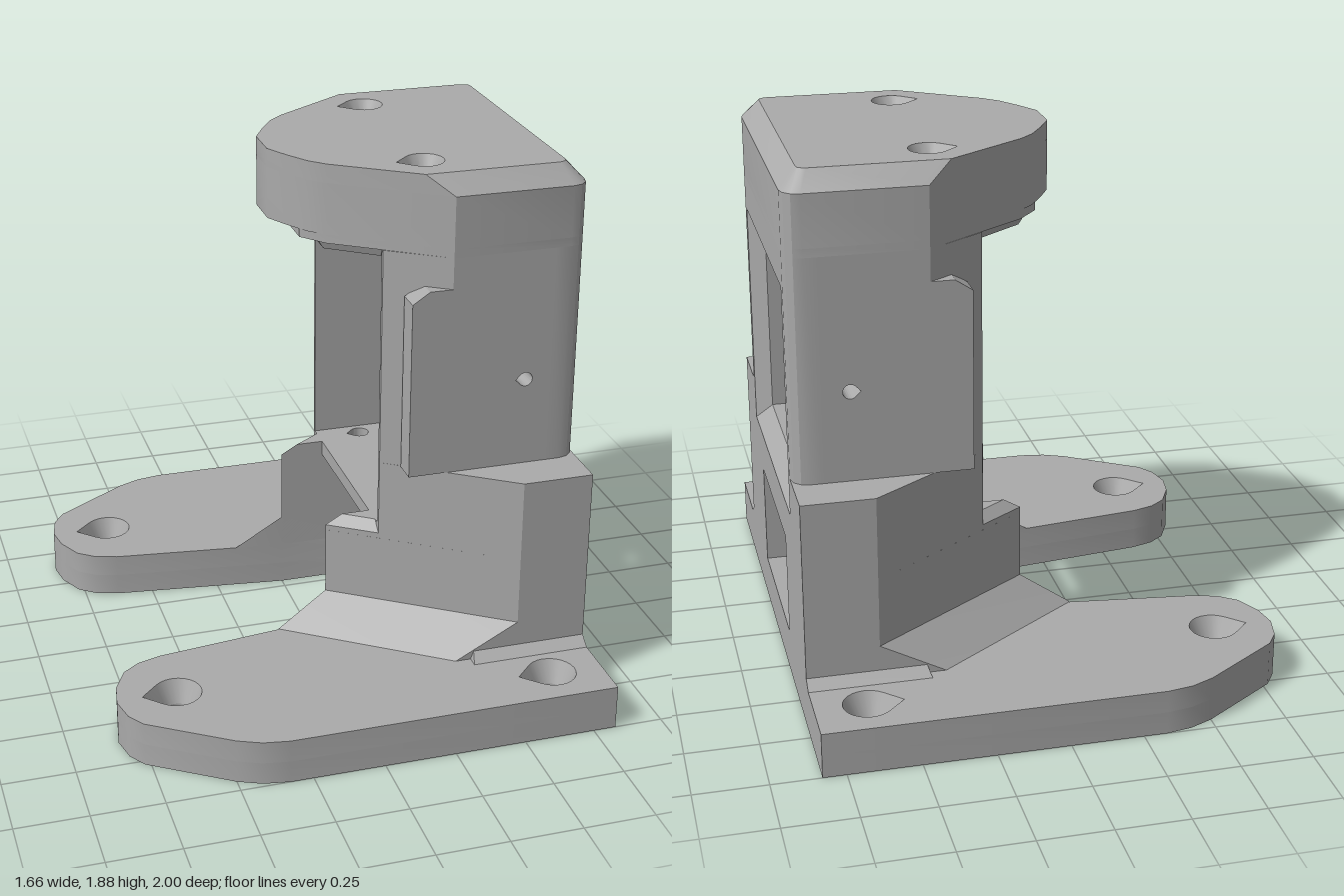
import * as THREE from 'three';
import { toCreasedNormals } from 'three/addons/utils/BufferGeometryUtils.js';

const grey = new THREE.MeshStandardMaterial({ color: 0xaaaaaa });
grey.name = 'grey plastic';

// Solid between two plan outlines of equal point count ([x, z] pairs), with optional holes.
function loft(low, y0, high, y1, holesLow = [], holesHigh = holesLow) {
  const pos = [];
  const vec = (ring) => ring.map(([x, z]) => new THREE.Vector2(x, z));
  const orient = (a, b, clockwise) => {
    const pair = [vec(a), vec(b)];
    if (THREE.ShapeUtils.isClockWise(pair[0]) !== clockwise) pair.forEach((r) => r.reverse());
    return pair;
  };
  const rings = [orient(low, high, false), ...holesLow.map((h, i) => orient(h, holesHigh[i], true))];
  const put = (p, y) => pos.push(p.x, y, p.y);
  for (const [a, b] of rings) {
    a.forEach((p, i) => {
      const j = (i + 1) % a.length;
      put(p, y0); put(b[i], y1); put(b[j], y1);
      put(p, y0); put(b[j], y1); put(a[j], y0);
    });
  }
  [0, 1].forEach((k) => {
    const contour = rings[0][k], holes = rings.slice(1).map((r) => r[k]);
    const all = [contour, ...holes].flat();
    for (const f of THREE.ShapeUtils.triangulateShape(contour, holes)) {
      (k ? [f[2], f[1], f[0]] : f).forEach((i) => put(all[i], k ? y1 : y0));
    }
  });
  const g = new THREE.BufferGeometry();
  g.setAttribute('position', new THREE.Float32BufferAttribute(pos, 3));
  return toCreasedNormals(g, 0.5);
}

// Mirror half an outline across z = 0.
const both = (half) => [...half, ...half.map(([x, z]) => [x, -z]).reverse()];
const flip = (pts, s) => pts.map(([x, z]) => [x, z * s]);

// Teardrop hole with its tip toward -x.
function teardrop(x, z, r) {
  const pts = [[x - r * 1.42, z]];
  for (let i = 0; i <= 18; i++) {
    const a = -Math.PI * 0.75 + (i / 18) * Math.PI * 1.5;
    pts.push([x + r * Math.cos(a), z + r * Math.sin(a)]);
  }
  return pts;
}

// Profile in x, y extruded along z.
function slab(pts, z0, z1, hole) {
  const shape = new THREE.Shape(pts.map(([x, y]) => new THREE.Vector2(x, y)));
  if (hole) shape.holes.push(new THREE.Path(hole.map(([x, y]) => new THREE.Vector2(x, y))));
  return new THREE.ExtrudeGeometry(shape, { depth: z1 - z0, bevelEnabled: false }).translate(0, 0, z0);
}

export function createModel() {
  const model = new THREE.Group();
  model.name = 'mountBracket';
  const add = (name, geometry) => {
    const mesh = new THREE.Mesh(geometry, grey);
    mesh.name = name;
    model.add(mesh);
  };

  // Forked base plate with countersunk teardrop holes
  const base = both([[0.83, 1], [-0.33, 1], [-0.42, 0.985], [-0.5, 0.95], [-0.77, 0.77], [-0.81, 0.71],
    [-0.83, 0.62], [-0.815, 0.53], [-0.77, 0.44], [-0.71, 0.395], [-0.63, 0.37], [0, 0.29],
    [0.45, 0.29], [0.56, 0.25], [0.63, 0.17], [0.65, 0.06]]);
  const baseHoles = (r) => [[0.65, 0.845], [0.65, -0.845], [-0.62, 0.61], [-0.62, -0.61]]
    .map(([x, z]) => teardrop(x, z, r));
  add('basePlateLower', loft(base, 0, base, 0.08, baseHoles(0.05)));
  add('basePlateUpper', loft(base, 0.08, base, 0.16, baseHoles(0.05), baseHoles(0.085)));

  for (const s of [1, -1]) {
    const side = s > 0 ? 'left' : 'right';
    const part = (name, low, y0, high, y1) =>
      add(side + name, loft(flip(low, s), y0, flip(high, s), y1));

    // Sloped skirts around the foot
    part('DiagonalSkirt', [[-0.18, 0.31], [0.355, 0.69], [0.83, 0.69], [0.83, 0.29], [0, 0.29]], 0.16,
      [[0, 0.29], [0.58, 0.69], [0.83, 0.69], [0.83, 0.29], [0.01, 0.29]], 0.28);
    part('SideSkirt', [[0.41, 0.73], [0.83, 0.73], [0.83, 0.6], [0.41, 0.65]], 0.16,
      [[0.42, 0.69], [0.83, 0.69], [0.83, 0.6], [0.42, 0.65]], 0.19);

    // Lower leg beside the channel, with a chamfered toe
    const leg = [[0, 0.29], [0.58, 0.69], [0.83, 0.69], [0.83, 0.29]];
    part('Leg', leg, 0.16, leg, 0.525);
    const toe = [[0, 0.29], [0.16, 0.4], [0.16, 0.29]];
    part('Toe', toe, 0.525, toe, 0.545);
    part('ToeChamfer', toe, 0.545, [[0.06, 0.29], [0.16, 0.36], [0.16, 0.29]], 0.58);

    // Shoulder
    const shoulder = [[0.16, 0.385], [0.16, 0.4], [0.58, 0.69], [0.83, 0.69], [0.83, 0.44], [0.775, 0.385]];
    part('Shoulder', shoulder, 0.58, shoulder, 0.82);

    // Upper side wall: diagonal front, drilled middle, rounded corner
    const front = [[0.16, 0.385], [0.16, 0.4], [0.36, 0.535], [0.36, 0.385]];
    part('WallFront', front, 0.58, front, 1.6);
    const drill = teardrop(0.63, 1.135, 0.025);
    add(side + 'Wall', slab([[0.36, 0.58], [0.72, 0.58], [0.72, 1.6], [0.36, 1.6]],
      s > 0 ? 0.385 : -0.535, s > 0 ? 0.535 : -0.385, drill));
    const corner = [[0.72, 0.385], [0.72, 0.535], [0.77, 0.535], [0.8, 0.527], [0.822, 0.505],
      [0.83, 0.475], [0.83, 0.44], [0.775, 0.385]];
    part('WallCorner', corner, 0.58, corner, 1.6);

    // Projecting tab with a chamfered top
    const tab = [[0.22, 0.45], [0.22, 0.535], [0.37, 0.535], [0.37, 0.45]];
    part('Tab', tab, 0.82, tab, 1.45);
    part('TabTop', tab, 1.45, [[0.28, 0.45], [0.28, 0.535], [0.37, 0.535], [0.37, 0.45]], 1.49);
  }

  // Shelf between the two openings
  const pins = (r) => [teardrop(0.32, 0.33, r), teardrop(0.32, -0.33, r)];
  const shelf = both([[0.16, 0.4], [0.58, 0.69], [0.83, 0.69]]);
  add('shelf', loft(shelf, 0.525, shelf, 0.58, pins(0.035)));

  // Sill and header of the large window, bevelled on the outside
  add('windowSill', slab([[0.47, 0.58], [0.83, 0.58], [0.83, 0.675], [0.775, 0.74], [0.47, 0.74]], -0.44, 0.44));
  add('windowHeader', slab([[0.47, 1.42], [0.775, 1.42], [0.83, 1.48], [0.83, 1.6], [0.47, 1.6]], -0.44, 0.44));

  // Lid with a stepped underside and bevelled top edges
  const back = [[0.36, 0.535], [0.77, 0.535], [0.8, 0.527], [0.822, 0.505], [0.83, 0.475]];
  const nose = [[-0.145, 0.07], [-0.1, 0.155], [-0.05, 0.235], [0, 0.285]];
  const pad = both([[-0.02, 0.25], [0.16, 0.385], [0.47, 0.385]]);
  add('lidPad', loft(both([[0.0, 0.25], [0.16, 0.37], [0.47, 0.37]]), 1.57, pad, 1.6, pins(0.035)));
  const step = both([[-0.07, 0.2], [0, 0.285], ...back]);
  add('lidStep', loft(step, 1.6, step, 1.63, pins(0.035)));
  const lid = both([...nose, ...back]);
  add('lid', loft(lid, 1.63, lid, 1.81, pins(0.035)));
  const lidTop = both([...nose, [0.275, 0.475], [0.74, 0.475], [0.755, 0.47], [0.767, 0.46], [0.77, 0.44]]);
  add('lidBevel', loft(lid, 1.81, lidTop, 1.875, pins(0.035), pins(0.068)));

  return model;
}
